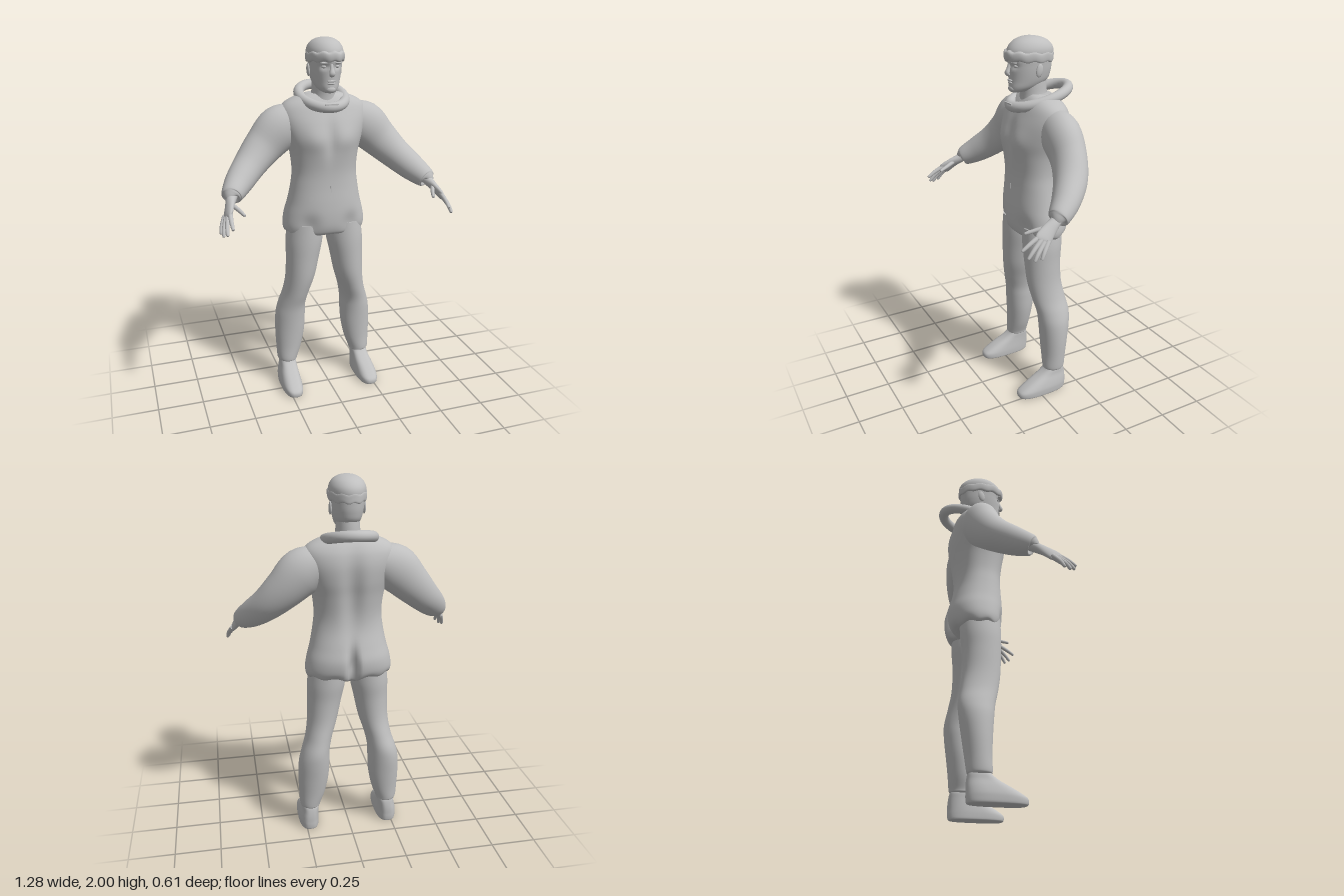
import * as THREE from 'three';

const V = (x, y, z) => new THREE.Vector3(x, y, z);

// Smoothly resample rows of numbers (Catmull-Rom on every column)
function refine(rows, n) {
  const out = [], at = i => rows[Math.min(Math.max(i, 0), rows.length - 1)];
  for (let i = 0; i < rows.length - 1; i++) for (let k = 0; k < n; k++) {
    const t = k / n, [a, b, c, d] = [at(i - 1), at(i), at(i + 1), at(i + 2)];
    out.push(b.map((_, j) => b[j] + 0.5 * t * (c[j] - a[j] + t * (2 * a[j] - 5 * b[j] + 4 * c[j] - d[j]
      + t * (3 * (b[j] - c[j]) + d[j] - a[j])))));
  }
  out.push(rows[rows.length - 1]);
  return out;
}

// Skin a list of closed rings and cap both ends
function skin(rings) {
  const n = rings[0].length, pos = [], idx = [];
  rings.forEach(r => r.forEach(p => pos.push(p.x, p.y, p.z)));
  for (let r = 0; r < rings.length - 1; r++) for (let i = 0; i < n; i++) {
    const a = r * n + i, b = r * n + (i + 1) % n;
    idx.push(a, a + n, b, b, a + n, b + n);
  }
  [rings[0], rings[rings.length - 1]].forEach((ring, end) => {
    const base = pos.length / 3, c = V(0, 0, 0);
    ring.forEach(p => { pos.push(p.x, p.y, p.z); c.addScaledVector(p, 1 / n); });
    pos.push(c.x, c.y, c.z);
    for (let i = 0; i < n; i++) {
      const a = base + i, b = base + (i + 1) % n;
      idx.push(base + n, end ? b : a, end ? a : b);
    }
  });
  const g = new THREE.BufferGeometry();
  g.setAttribute('position', new THREE.Float32BufferAttribute(pos, 3));
  g.setIndex(idx);
  g.computeVertexNormals();
  return g;
}

// Upright loft; rows: [y, xMin, xMax, zBack, zFront], bottom to top
function stack(rows, { sides = 40, power = 2, steps = 5, bend } = {}) {
  const f = v => Math.sign(v) * Math.abs(v) ** (2 / power);
  return skin(refine(rows, steps).map(([y, x0, x1, z0, z1]) => Array.from({ length: sides }, (_, i) => {
    const a = i / sides * Math.PI * 2;
    const p = V((x0 + x1) / 2 + (x1 - x0) / 2 * f(Math.cos(a)), y, (z0 + z1) / 2 + (z1 - z0) / 2 * f(Math.sin(a)));
    if (bend) bend(p, a);
    return p;
  })));
}

// Limb loft along a path; rows: [x, y, z, radius in plane, radius across]
function limb(rows, sides = 24, steps = 5) {
  const r = refine(rows, steps), P = r.map(([x, y, z]) => V(x, y, z));
  return skin(r.map((row, k) => {
    const t = P[Math.min(k + 1, P.length - 1)].clone().sub(P[Math.max(k - 1, 0)]).normalize();
    const u = V(0, 0, 1).cross(t).normalize(), v = u.clone().cross(t);
    return Array.from({ length: sides }, (_, i) => {
      const a = i / sides * Math.PI * 2;
      return P[k].clone().addScaledVector(u, row[3] * Math.cos(a)).addScaledVector(v, row[4] * Math.sin(a));
    });
  }));
}

function mirrored(geo) {
  const g = geo.clone().scale(-1, 1, 1), ix = g.index.array;
  for (let i = 0; i < ix.length; i += 3) [ix[i], ix[i + 1]] = [ix[i + 1], ix[i]];
  g.computeVertexNormals();
  return g;
}

const ball = (x, y, z, rx, ry, rz, tilt = 0) =>
  new THREE.SphereGeometry(1, 20, 14).scale(rx, ry, rz).rotateX(tilt).translate(x, y, z);

export function createModel() {
  const model = new THREE.Group();
  const grey = new THREE.MeshStandardMaterial({ color: 0xbfbfbf });
  grey.name = 'plain grey';
  const add = (name, geo) => {
    const m = new THREE.Mesh(geo, grey);
    m.name = name;
    model.add(m);
  };
  const pair = (name, geo) => { add(name + 'Left', geo); add(name + 'Right', mirrored(geo)); };
  const bump = (v, c, w) => Math.exp(-(((v - c) / w) ** 2));

  // Padded suit, with chest, spine and seat modelled by rules
  const body = [[0.95, 0.215, -0.2, 0.03], [0.965, 0.23, -0.225, 0.045], [1.0, 0.234, -0.243, 0.056],
    [1.06, 0.224, -0.248, 0.06], [1.13, 0.205, -0.232, 0.058], [1.22, 0.188, -0.21, 0.052], [1.3, 0.18, -0.208, 0.052],
    [1.4, 0.19, -0.222, 0.062], [1.48, 0.212, -0.236, 0.064], [1.56, 0.235, -0.24, 0.045], [1.62, 0.238, -0.23, 0.02],
    [1.66, 0.215, -0.212, 0], [1.69, 0.16, -0.19, -0.02], [1.71, 0.09, -0.17, -0.035]];
  add('suitBody', stack(body.map(([y, w, b, f]) => [y, -w, w, b, f]), {
    sides: 96, power: 2.2, bend: (p, a) => {
      const { x, y } = p, s = Math.sin(a);
      if (s < 0) p.z += -s * (0.055 * bump(x, 0, 0.022) * bump(y, 1.03, 0.09) + 0.028 * bump(x, 0, 0.05) * bump(y, 1.42, 0.2));
      else p.z += s * (0.012 * bump(Math.abs(x), 0.09, 0.06) * bump(y, 1.48, 0.07) - 0.012 * bump(x, 0, 0.03) * bump(y, 1.48, 0.1)
        - 0.02 * bump(Math.abs(x), 0.12, 0.05) * bump(y, 1.0, 0.06));
      p.y += (0.006 * Math.sin(9 * a) - 0.012 * bump(x, 0, 0.06)) * bump(y, 0.95, 0.03);
    }
  }));
  add('navel', new THREE.BoxGeometry(0.005, 0.035, 0.006).translate(0, 1.21, 0.052));

  // Sleeves
  pair('sleeve', limb([[0.13, 1.575, -0.115, 0.085, 0.08], [0.235, 1.53, -0.11, 0.122, 0.098], [0.33, 1.44, -0.1, 0.106, 0.09],
    [0.415, 1.355, -0.06, 0.088, 0.085], [0.49, 1.285, 0.01, 0.075, 0.072], [0.54, 1.24, 0.075, 0.058, 0.057],
    [0.549, 1.231, 0.089, 0.047, 0.046], [0.55, 1.229, 0.091, 0.028, 0.028]], 40));

  // Hands
  pair('palm', limb([[0.53, 1.247, 0.065, 0.026, 0.026], [0.552, 1.222, 0.105, 0.026, 0.028], [0.57, 1.195, 0.15, 0.02, 0.036],
    [0.587, 1.165, 0.19, 0.016, 0.042], [0.593, 1.153, 0.203, 0.009, 0.034]]));
  const fingers = {
    indexFinger: [[0.578, 1.178, 0.205], [0.583, 1.15, 0.26], [0.583, 1.125, 0.298]],
    middleFinger: [[0.588, 1.165, 0.2], [0.603, 1.125, 0.25], [0.608, 1.092, 0.28]],
    ringFinger: [[0.597, 1.155, 0.19], [0.617, 1.11, 0.235], [0.623, 1.08, 0.255]],
    littleFinger: [[0.602, 1.155, 0.172], [0.623, 1.115, 0.205], [0.631, 1.085, 0.222]],
    thumb: [[0.56, 1.205, 0.14], [0.534, 1.19, 0.195], [0.515, 1.175, 0.245]]
  };
  for (const [name, [a, b, c]] of Object.entries(fingers)) {
    const tip = c.map((v, i) => v + (c[i] - b[i]) * 0.1);
    pair(name, limb([[...a, 0.013, 0.013], [...b, 0.011, 0.011], [...c, 0.008, 0.008], [...tip, 0.003, 0.003]], 12, 4));
  }

  // Trouser legs
  pair('leg', stack([[0.135, 0.185, 0.265, -0.15, -0.06], [0.142, 0.168, 0.277, -0.163, -0.045], [0.16, 0.163, 0.283, -0.168, -0.04],
    [0.23, 0.138, 0.287, -0.176, -0.04], [0.33, 0.118, 0.29, -0.19, -0.035], [0.43, 0.112, 0.285, -0.204, -0.027],
    [0.5, 0.11, 0.268, -0.207, -0.018], [0.58, 0.093, 0.243, -0.193, 0.002], [0.68, 0.062, 0.228, -0.178, 0.02],
    [0.8, 0.036, 0.224, -0.178, 0.028], [0.9, 0.015, 0.223, -0.188, 0.032], [1.0, 0.01, 0.21, -0.19, 0.03]]));

  // Shoes, toe narrowing forward
  pair('shoe', stack([[0, 0.178, 0.282, -0.16, 0.122], [0.006, 0.173, 0.288, -0.167, 0.13], [0.03, 0.172, 0.29, -0.17, 0.13],
    [0.05, 0.173, 0.289, -0.17, 0.105], [0.08, 0.176, 0.282, -0.17, 0.052], [0.11, 0.178, 0.273, -0.167, -0.005],
    [0.135, 0.178, 0.27, -0.162, -0.04], [0.15, 0.182, 0.265, -0.155, -0.05]], { power: 2.7, steps: 3 }));

  // Neck and head
  add('neck', stack([[1.64, -0.085, 0.085, -0.175, -0.01], [1.7, -0.066, 0.066, -0.158, -0.012],
    [1.76, -0.062, 0.062, -0.155, -0.005], [1.82, -0.06, 0.06, -0.15, 0]]));
  add('head', stack([[1.722, -0.022, 0.022, -0.03, 0.042], [1.73, -0.04, 0.04, -0.06, 0.052], [1.75, -0.058, 0.058, -0.11, 0.055],
    [1.78, -0.071, 0.071, -0.158, 0.054], [1.82, -0.08, 0.08, -0.174, 0.056], [1.86, -0.085, 0.085, -0.18, 0.06],
    [1.9, -0.087, 0.087, -0.18, 0.062], [1.95, -0.075, 0.075, -0.16, 0.04]], {
    power: 2.15, bend: (p, a) => {
      // Eye hollows
      if (Math.sin(a) > 0) p.z -= 0.014 * bump(Math.abs(p.x), 0.034, 0.018) * bump(p.y, 1.857, 0.014);
    }
  }));
  add('nose', limb([[0, 1.87, 0.052, 0.009, 0.01], [0, 1.845, 0.061, 0.011, 0.01], [0, 1.822, 0.069, 0.016, 0.012],
    [0, 1.812, 0.06, 0.012, 0.008]], 16));
  add('upperLip', ball(0, 1.784, 0.053, 0.024, 0.006, 0.009));
  add('lowerLip', ball(0, 1.772, 0.051, 0.021, 0.007, 0.01));
  add('chin', ball(0, 1.741, 0.043, 0.026, 0.018, 0.016));
  pair('eye', ball(0.034, 1.857, 0.033, 0.015, 0.009, 0.014));
  pair('brow', ball(0.034, 1.876, 0.048, 0.024, 0.006, 0.012));
  pair('ear', ball(0.087, 1.835, -0.07, 0.009, 0.034, 0.019, -0.2));

  // Cap of hair with a thick wavy rim
  add('hairCap', stack([[1.885, -0.088, 0.088, -0.182, 0.058], [1.915, -0.095, 0.095, -0.19, 0.066], [1.945, -0.092, 0.092, -0.184, 0.058],
    [1.972, -0.076, 0.076, -0.16, 0.035], [1.99, -0.05, 0.05, -0.122, 0.002], [1.998, -0.022, 0.022, -0.08, -0.035],
    [2.0, -0.003, 0.003, -0.062, -0.055]]));
  add('hairRim', stack([[1.876, -0.088, 0.088, -0.182, 0.06], [1.88, -0.096, 0.096, -0.19, 0.074], [1.9, -0.1, 0.1, -0.191, 0.08],
    [1.92, -0.098, 0.098, -0.19, 0.077], [1.928, -0.088, 0.088, -0.18, 0.062]], {
    sides: 64, steps: 3, bend: (p, a) => { p.y += 0.004 * Math.sin(10 * a) + 0.006 * Math.sin(a); }
  }));

  // Tilted collar ring, high at the back
  const path = Array.from({ length: 24 }, (_, i) => {
    const a = i / 24 * Math.PI * 2;
    return V(0.12 * Math.cos(a), 1.69 - 0.042 * Math.sin(a), -0.118 + 0.16 * Math.sin(a));
  });
  add('collarRing', new THREE.TubeGeometry(new THREE.CatmullRomCurve3(path, true), 72, 0.028, 18, true));
  add('collarSlot', new THREE.BoxGeometry(0.075, 0.007, 0.008).translate(0, 1.666, 0.063));

  return model;
}
